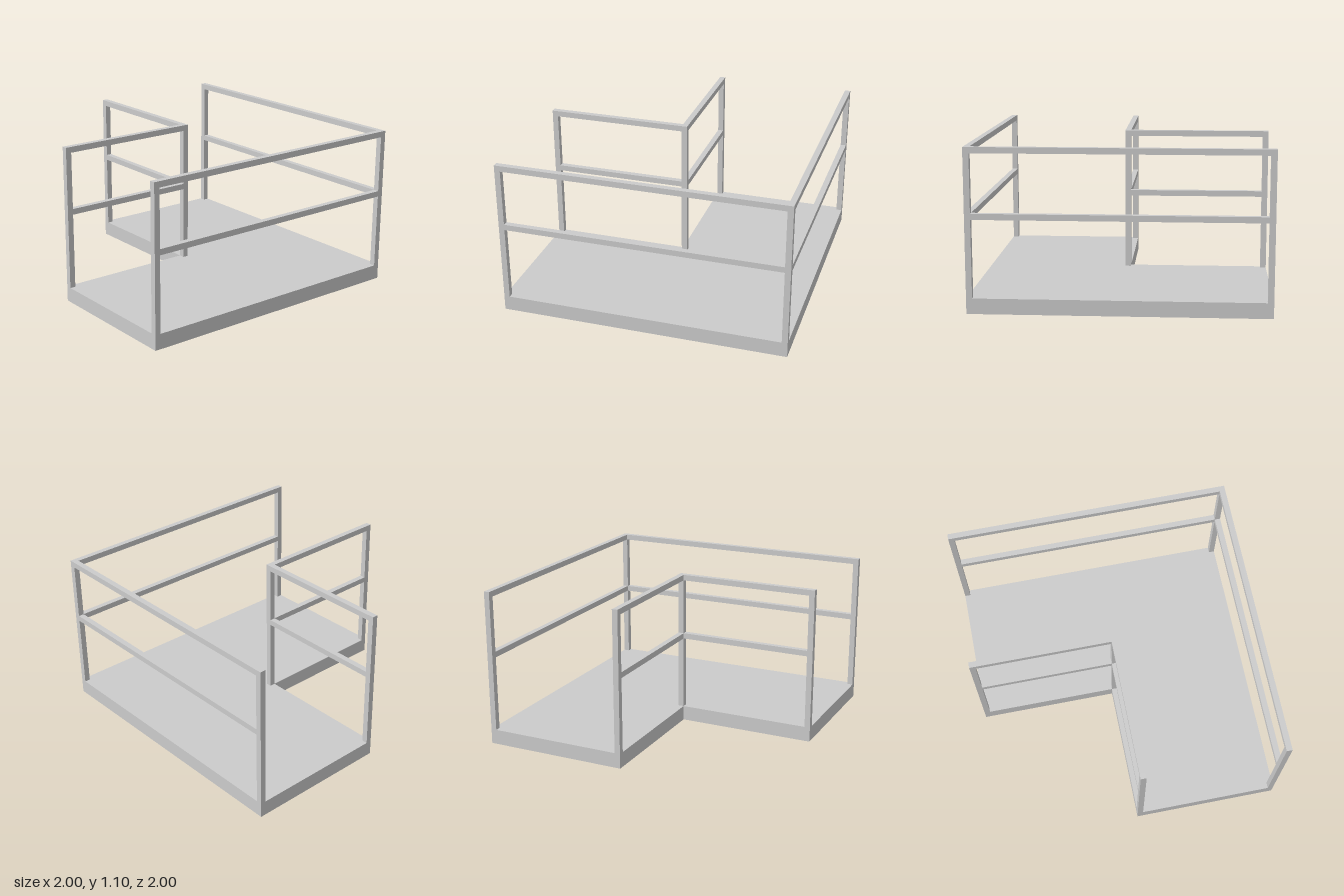
import * as THREE from 'three';

const T = 0.04;      // rail and post thickness
const DECK = 0.105;  // deck top height
const TOP = 1.1;     // handrail top

export function createModel() {
  const model = new THREE.Group();
  const material = new THREE.MeshStandardMaterial({ color: 0xcccccc });

  const add = (name, geometry, parent = model) => {
    const mesh = new THREE.Mesh(geometry, material);
    mesh.name = name;
    parent.add(mesh);
    return mesh;
  };

  // L-shaped plan outline in (x, z), inset by d
  const outline = (d) => [
    [-1 + d, -1 + d], [1 - d, -1 + d], [1 - d, 1 - d],
    [-0.02 + d, 1 - d], [-0.02 + d, 0.02 - d], [-1 + d, 0.02 - d],
  ].map(([x, z]) => new THREE.Vector2(x, z));

  // Extrude a plan shape downwards from the given height
  const slab = (shape, top, depth) =>
    new THREE.ExtrudeGeometry(shape, { depth, bevelEnabled: false })
      .rotateX(Math.PI / 2).translate(0, top, 0);

  // Deck plate with a thin skirt, open underneath
  const plate = 0.015;
  add('deckPlate', slab(new THREE.Shape(outline(0)), DECK, plate));
  const skirt = new THREE.Shape(outline(0));
  skirt.holes.push(new THREE.Path(outline(0.01)));
  add('deckSkirt', slab(skirt, DECK - plate, DECK - plate));

  // Railing through three post centres: start, corner, end
  const railing = (name, points) => {
    const group = new THREE.Group();
    group.name = name;
    model.add(group);
    for (const [x, z] of points) {
      add('post', new THREE.BoxGeometry(T, TOP - DECK, T), group)
        .position.set(x, (TOP + DECK) / 2, z);
    }
    for (let i = 0; i < 2; i++) {
      const [ax, az] = points[i], [bx, bz] = points[i + 1];
      const w = Math.max(Math.abs(bx - ax) - T, T);
      const d = Math.max(Math.abs(bz - az) - T, T);
      for (const [part, y] of [['handrail', TOP - T / 2], ['midRail', 0.647]]) {
        add(part, new THREE.BoxGeometry(w, T, d), group)
          .position.set((ax + bx) / 2, y, (az + bz) / 2);
      }
    }
  };

  const e = 1 - T / 2;
  railing('outerRailing', [[-e, -e], [e, -e], [e, e]]);
  railing('innerRailing', [[-e, 0], [0, 0], [0, e]]);

  return model;
}
